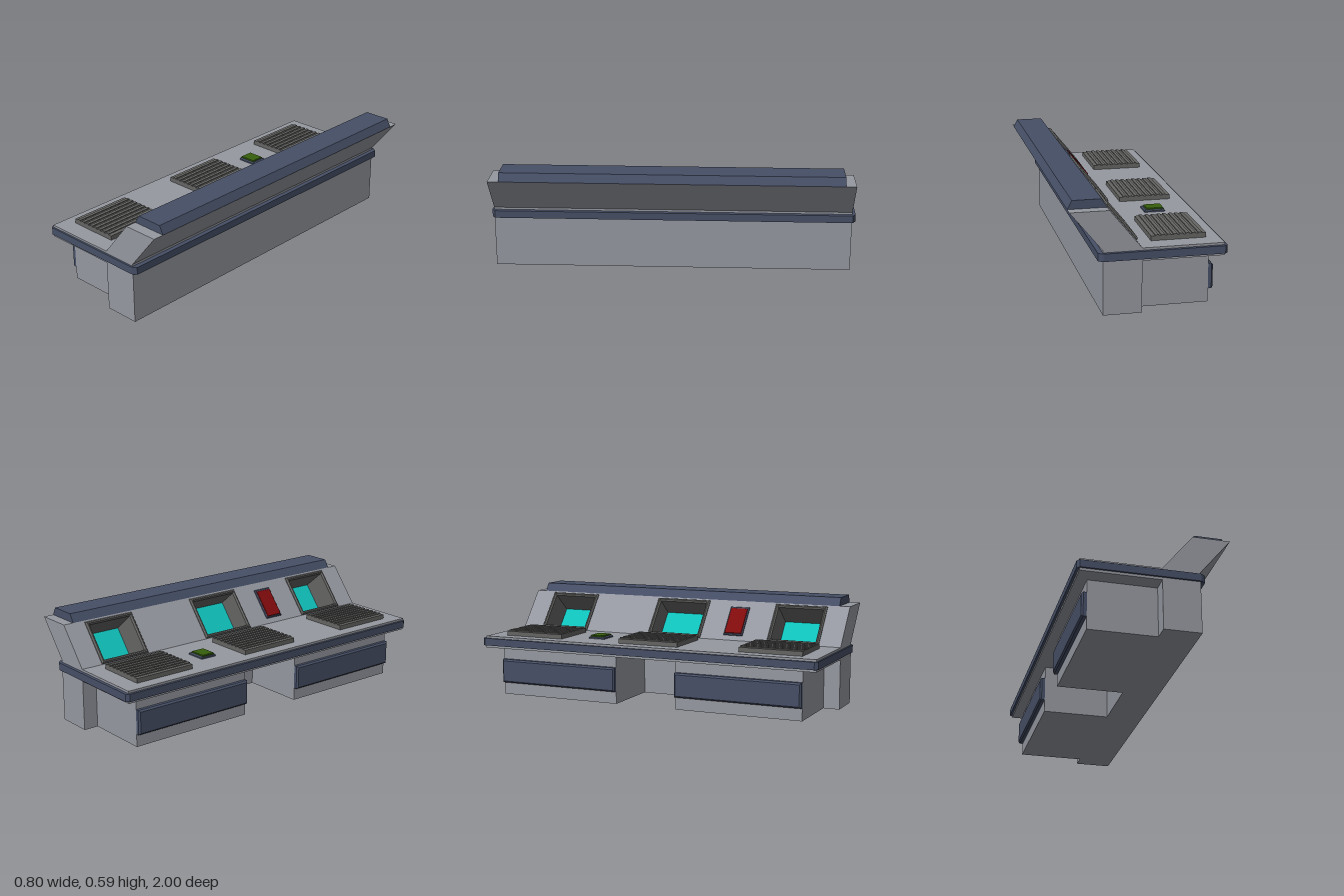
import * as THREE from 'three';

const mat = (name, color, side = THREE.FrontSide) =>
  Object.assign(new THREE.MeshStandardMaterial({ color, side }), { name });

// Open or closed polyline swept along z; counter-clockwise points face outward
function strip(points, z0, z1) {
  const pos = [];
  for (let i = 0; i < points.length - 1; i++) {
    const [a, b] = points[i], [c, d] = points[i + 1];
    pos.push(a, b, z0, c, d, z0, c, d, z1, a, b, z0, c, d, z1, a, b, z1);
  }
  const g = new THREE.BufferGeometry();
  g.setAttribute('position', new THREE.Float32BufferAttribute(pos, 3));
  g.computeVertexNormals();
  return g;
}

// Box standing on z = 0 whose +z edges are chamfered
function bevelBox(w, h, d, drop, inset) {
  const g = new THREE.BoxGeometry(w, h, d, 1, 1, 2).toNonIndexed();
  const p = g.attributes.position;
  for (let i = 0; i < p.count; i++) {
    const z = p.getZ(i);
    if (z > 0.0001) {
      p.setX(i, p.getX(i) - Math.sign(p.getX(i)) * inset);
      p.setY(i, p.getY(i) - Math.sign(p.getY(i)) * inset);
    } else if (z > -0.0001) p.setZ(i, d / 2 - drop);
  }
  g.translate(0, 0, d / 2);
  g.computeVertexNormals();
  return g;
}

const rect = (x0, y0, x1, y1) => [[x0, y0], [x1, y0], [x1, y1], [x0, y1]];
const toShape = (pts, Type = THREE.Shape) => new Type(pts.map(([x, y]) => new THREE.Vector2(x, y)));

export function createModel() {
  const root = new THREE.Group();
  root.name = 'controlConsole';
  const grey = mat('casingGrey', 0x9598a0);
  const blue = mat('trimBlue', 0x464f66);
  const dark = mat('darkGrey', 0x646463);
  const green = mat('buttonGreen', 0x365f0d);
  const red = mat('buttonRed', 0x800b0d);
  const cyan = mat('screenCyan', 0x10c2bc);

  const add = (name, geo, material, x = 0, y = 0, z = 0, parent = root) => {
    const m = new THREE.Mesh(geo, material);
    m.name = name;
    m.position.set(x, y, z);
    parent.add(m);
    return m;
  };
  const box = (name, material, x0, x1, y0, y1, z0, z1) =>
    add(name, new THREE.BoxGeometry(x1 - x0, y1 - y0, z1 - z0), material,
      (x0 + x1) / 2, (y0 + y1) / 2, (z0 + z1) / 2);

  // Rear cabinet and leaning console, open on the sloped face
  const zMin = -0.982, zMax = 0.99;
  const profile = [[0.035, 0.34], [0.035, 0], [0.235, 0], [0.235, 0.34], [0.4, 0.543], [0.2, 0.543]];
  add('cabinetShell', strip(profile, zMin, zMax), grey);
  add('cabinetEnd', new THREE.ShapeGeometry(toShape(profile)), grey, 0, 0, zMax);
  const farEnd = new THREE.ShapeGeometry(toShape(profile));
  farEnd.setIndex(Array.from(farEnd.index.array).reverse());
  farEnd.computeVertexNormals();
  add('cabinetEnd', farEnd, grey, 0, 0, zMin);

  // Desk and the trim band around it
  box('desk', grey, -0.388, 0.035, 0.273, 0.34, zMin, zMax);
  const band = toShape([[-0.388, -1], [0.235, -1], [0.26, -0.983], [0.26, 0.983],
    [0.235, 1], [-0.388, 1], [-0.402, 0.983], [-0.402, -0.983]]);
  band.holes.push(toShape(rect(-0.38, -0.97, 0.23, 0.97), THREE.Path));
  const bandGeo = new THREE.ExtrudeGeometry(band, { depth: 0.041, bevelEnabled: false });
  bandGeo.rotateX(Math.PI / 2);
  add('deskTrim', bandGeo, blue, 0, 0.328, 0);

  // Pedestals with drawer fronts
  for (const s of [-1, 1]) {
    const z = s * 0.54;
    box('pedestal', grey, -0.33, 0.035, 0, 0.273, z - 0.36, z + 0.36);
    add('drawerFront', bevelBox(0.72, 0.135, 0.027, 0.009, 0.009), blue, -0.33, 0.1375, z)
      .rotation.y = -Math.PI / 2;
  }

  // Cap along the top of the console
  const cap = toShape([[0.2, 0.543], [0.4, 0.543], [0.377, 0.588], [0.227, 0.588]]);
  add('topCap', new THREE.ExtrudeGeometry(cap, { depth: 1.855, bevelEnabled: false }), blue, 0, 0, -0.925);

  // Ridged keyboards on the desk
  for (const z of [-0.705, 0.007, 0.717]) {
    box('keyboard', dark, -0.32, -0.033, 0.34, 0.365, z - 0.177, z + 0.177);
    for (let i = 0; i < 8; i++) {
      const x = -0.288 + i * 0.032;
      box('keyRidge', dark, x - 0.009, x + 0.009, 0.364, 0.37, z - 0.177, z + 0.177);
    }
  }

  // Green desk button
  add('greenButtonBase', bevelBox(0.112, 0.095, 0.013, 0.006, 0.006), blue, -0.176, 0.34, -0.352)
    .rotation.x = -Math.PI / 2;
  add('greenButton', bevelBox(0.096, 0.08, 0.02, 0.004, 0.003), green, -0.18, 0.34, -0.352)
    .rotation.x = -Math.PI / 2;

  // Sloped panel: local x runs along the length, y up the slope, z outward
  const slope = new THREE.Vector3(0.165, 0.203, 0);
  const slopeLen = slope.length();
  slope.normalize();
  const along = new THREE.Vector3(0, 0, 1);
  const panel = new THREE.Group();
  panel.name = 'slopedPanel';
  panel.quaternion.setFromRotationMatrix(
    new THREE.Matrix4().makeBasis(along, slope, along.clone().cross(slope)));
  panel.position.set(0.035, 0.34, 0);
  root.add(panel);

  const face = toShape(rect(zMin, 0, zMax, slopeLen));
  // Recessed screens: centre, half width, depth
  for (const [c, half, depth] of [[-0.708, 0.15, 0.15], [0.003, 0.163, 0.12], [0.716, 0.15, 0.148]]) {
    const w = half - 0.02, lo = 0.022, hi = 0.23;
    const hole = rect(c - w, lo, c + w, hi);
    face.holes.push(toShape(hole, THREE.Path));

    const frame = toShape(rect(c - half, 0.001, c + half, 0.251));
    frame.holes.push(toShape(hole, THREE.Path));
    add('screenFrame', new THREE.ExtrudeGeometry(frame, {
      depth: 0.0045, bevelThickness: 0.009, bevelSize: 0.007, bevelOffset: -0.007, bevelSegments: 1,
    }), dark, 0, 0, 0, panel);

    const inward = [...hole, hole[0]].reverse();
    add('screenWell', strip(inward, -depth, 0), dark, 0, 0, 0, panel);
    add('screen', new THREE.PlaneGeometry(2 * w, hi - lo), cyan, c, (lo + hi) / 2, -depth, panel);
  }
  add('panelFace', new THREE.ShapeGeometry(face), grey, 0, 0, 0, panel);

  // Red panel button
  add('redButtonBase', bevelBox(0.112, 0.185, 0.011, 0.005, 0.005), blue, 0.36, 0.124, 0, panel);
  add('redButton', bevelBox(0.1, 0.165, 0.0145, 0.003, 0.002), red, 0.36, 0.122, 0, panel);

  return root;
}
